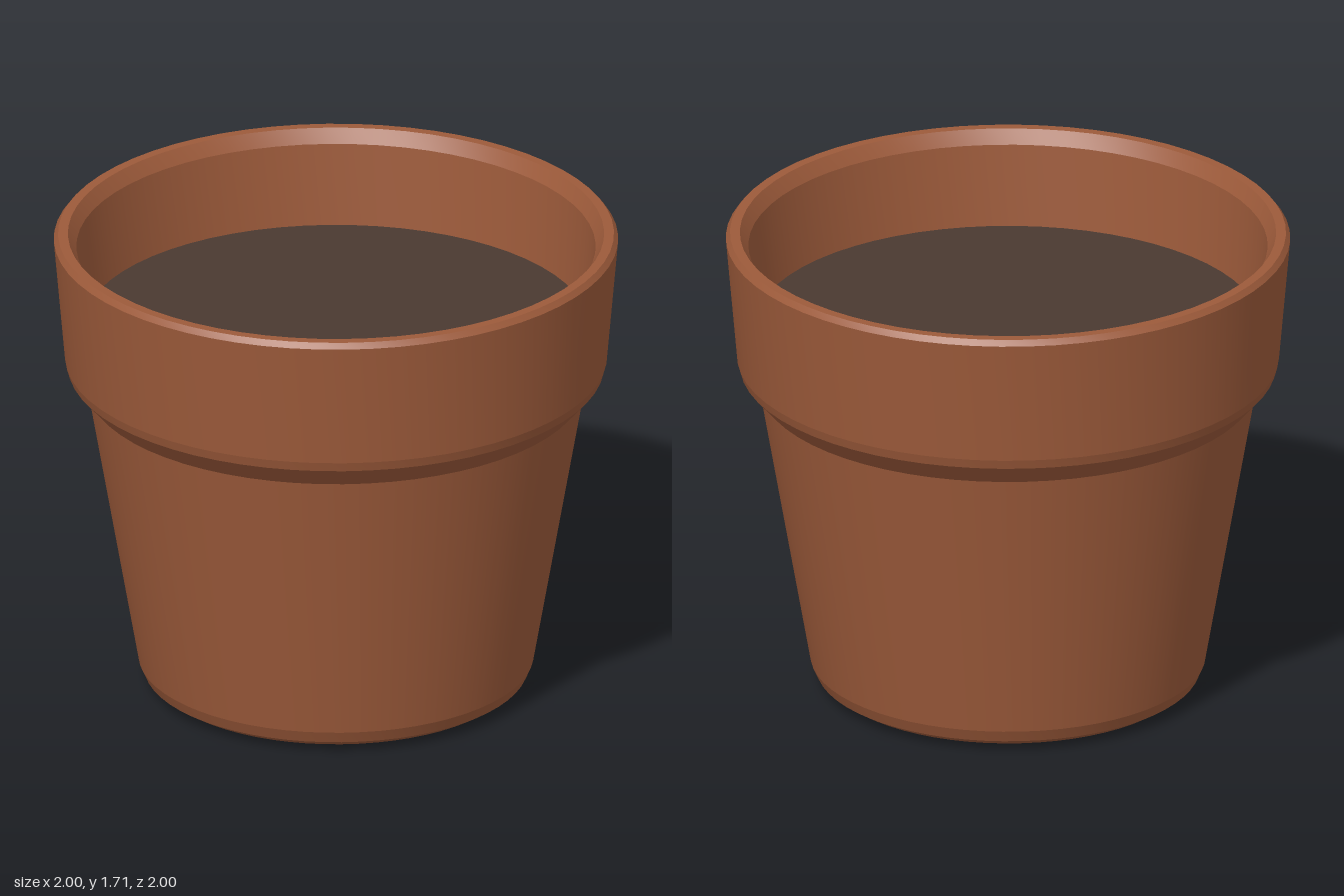
import * as THREE from 'three';
import { toCreasedNormals } from 'three/addons/utils/BufferGeometryUtils.js';

const SEGMENTS = 64;

// Revolve a profile; round sides stay smooth, profile corners stay sharp
function revolve(profile) {
  const points = profile.map(([r, y]) => new THREE.Vector2(r, y));
  return toCreasedNormals(new THREE.LatheGeometry(points, SEGMENTS), 0.12);
}

export function createModel() {
  const group = new THREE.Group();
  group.name = 'flowerPot';

  const terracotta = new THREE.MeshStandardMaterial({ color: 0x9c5a3a });
  terracotta.name = 'terracotta';
  const earth = new THREE.MeshStandardMaterial({ color: 0x4a3931 });
  earth.name = 'darkEarth';

  // Base, tapered body, collar, lip and inner wall in one closed profile
  const pot = new THREE.Mesh(revolve([
    [0, 0], [0.52, 0], [0.64, 0.015], [0.68, 0.04], [0.7, 0.085], // rounded base
    [0.88, 1.12],                                               // body
    [0.95, 1.2], [0.96, 1.235], [1, 1.69],                      // collar
    [0.985, 1.71], [0.95, 1.71], [0.92, 1.66],                  // lip
    [0.89, 1.34],                                               // inner wall
  ]), terracotta);
  pot.name = 'pot';
  group.add(pot);

  // Soil surface inside the pot
  const soilGeometry = new THREE.CircleGeometry(0.892, SEGMENTS);
  soilGeometry.rotateX(-Math.PI / 2);
  const soil = new THREE.Mesh(soilGeometry, earth);
  soil.name = 'soil';
  soil.position.y = 1.36;
  group.add(soil);

  return group;
}
